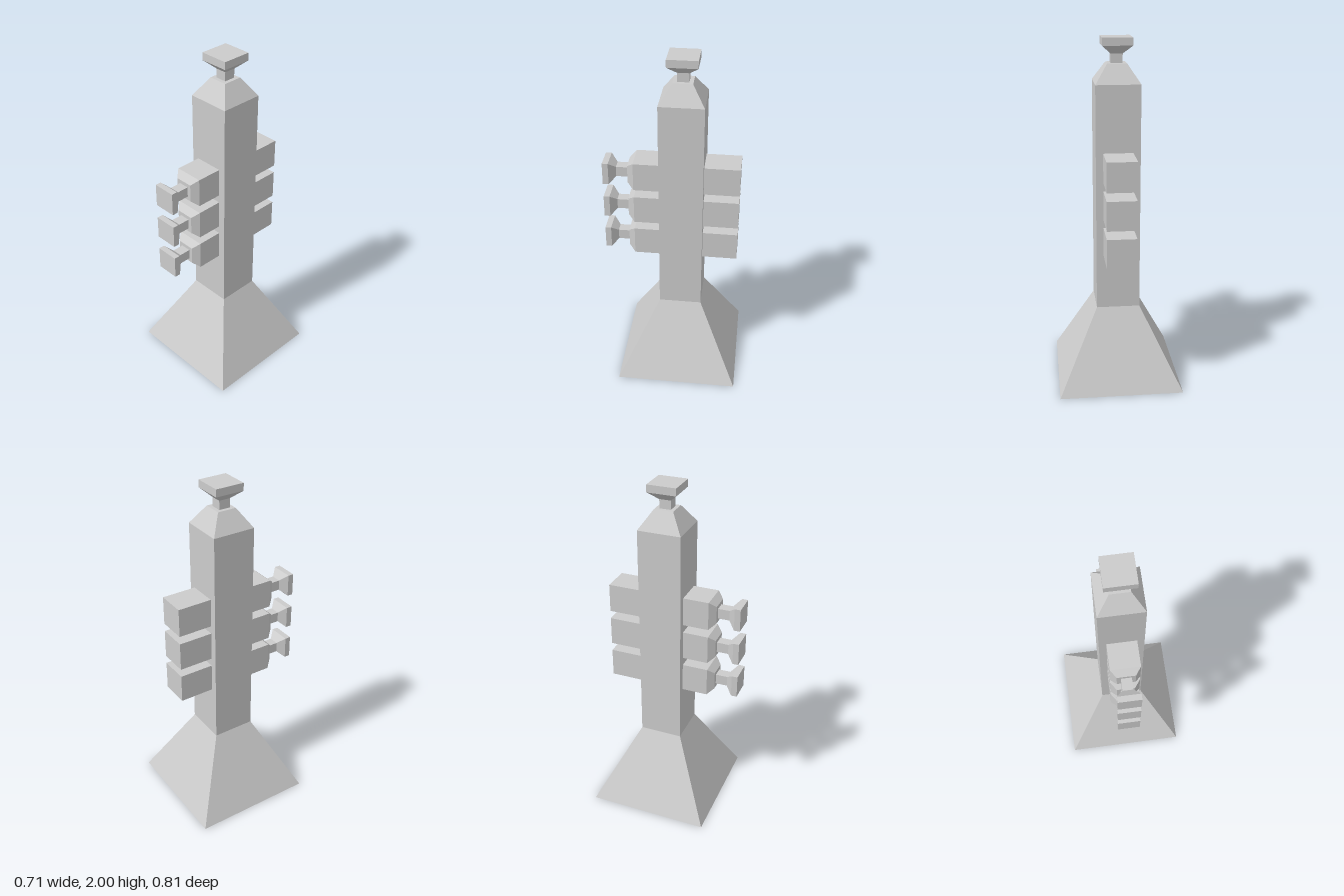
import * as THREE from 'three';

const material = new THREE.MeshStandardMaterial({ color: 0xcccccc, flatShading: true });

// Square-section solid along y from [half width, height] pairs, capped at both ends
function squareLoft(name, sections) {
  const rings = [[0, sections[0][1]], ...sections, [0, sections[sections.length - 1][1]]];
  const points = rings.map(([half, y]) => new THREE.Vector2(half * Math.SQRT2, y));
  const mesh = new THREE.Mesh(new THREE.LatheGeometry(points, 4, Math.PI / 4), material);
  mesh.name = name;
  return mesh;
}

export function createModel() {
  const model = new THREE.Group();
  model.name = 'blockyTrumpet';

  // Upright horn: bell, tube and mouthpiece share one axis, set slightly back
  const horn = new THREE.Group();
  horn.name = 'horn';
  horn.position.z = -0.048;
  horn.add(
    squareLoft('bellAndTube', [[0.356, 0], [0.125, 0.458], [0.125, 1.755], [0.055, 1.86]]),
    squareLoft('mouthpiece', [[0.033, 1.86], [0.033, 1.911], [0.084, 1.957], [0.084, 2]])
  );
  model.add(horn);

  // Three valves running through the tube from back to front
  for (let i = 0; i < 3; i++) {
    const valve = new THREE.Group();
    valve.name = `valve${i + 1}`;
    valve.add(
      squareLoft('valveCasing', [[0.084, -0.375], [0.084, 0.226], [0.052, 0.263]]),
      squareLoft('valveButton', [[0.03, 0.263], [0.03, 0.331], [0.066, 0.37], [0.066, 0.404]])
    );
    valve.rotation.x = Math.PI / 2;
    valve.position.y = 0.863 + i * 0.216;
    model.add(valve);
  }
  return model;
}
